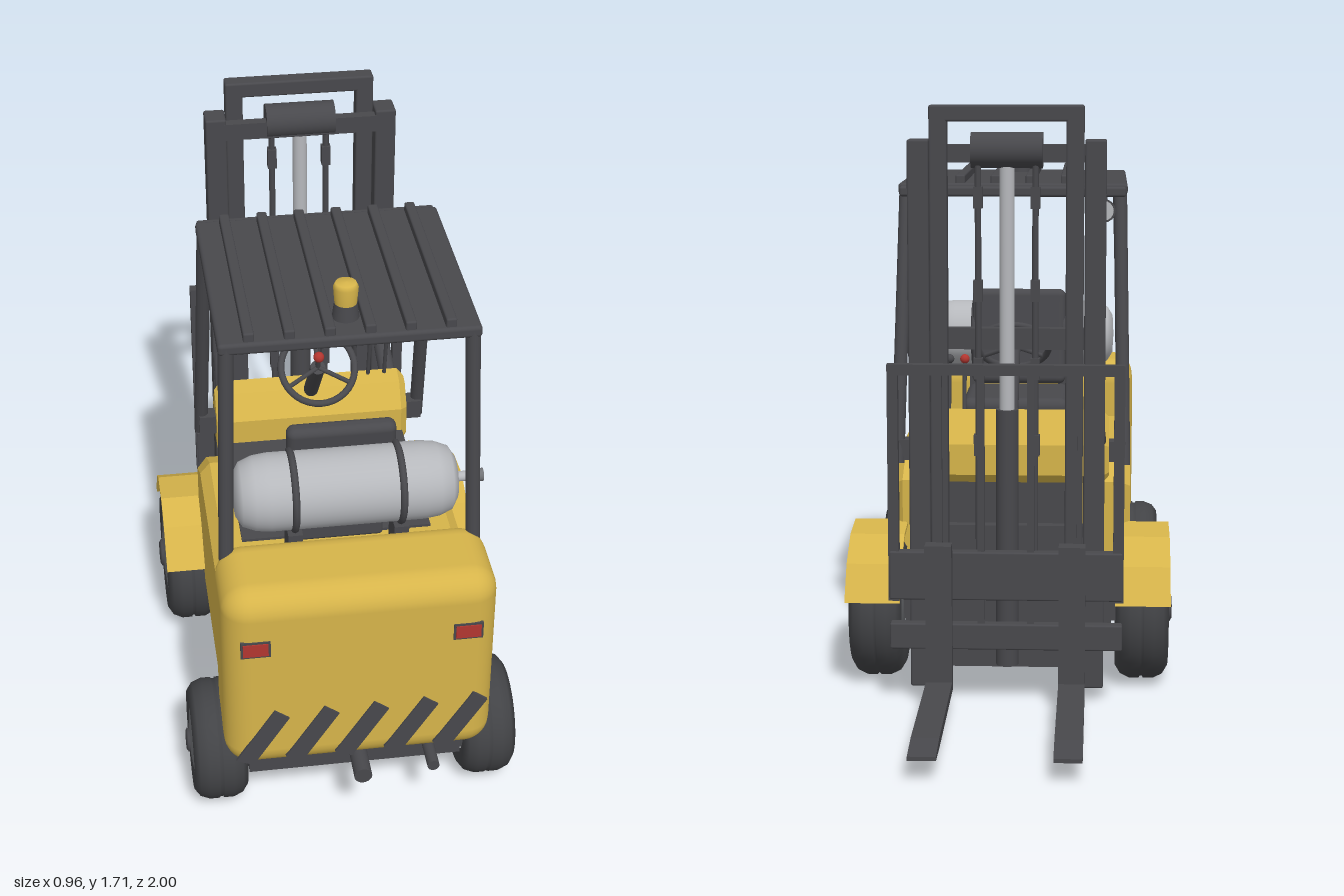
import * as THREE from 'three';
import { RoundedBoxGeometry } from 'three/addons/geometries/RoundedBoxGeometry.js';

const mat = (name, color, side = THREE.FrontSide) => {
  const m = new THREE.MeshStandardMaterial({ color, side });
  m.name = name;
  return m;
};

export function createModel() {
  const yellow = mat('yellow paint', 0xd6b44a);
  const dark = mat('dark steel', 0x48484c);
  const rubber = mat('tyre rubber', 0x424346);
  const hubGrey = mat('hub grey', 0x717377);
  const silver = mat('tank silver', 0xb6b8bc);
  const red = mat('red', 0xb23630);
  const root = new THREE.Group();
  root.name = 'forklift';
  const V = (x, y, z) => new THREE.Vector3(x, y, z);

  const add = (name, geo, m, x = 0, y = 0, z = 0) => {
    const mesh = new THREE.Mesh(geo, m);
    mesh.name = name;
    mesh.position.set(x, y, z);
    root.add(mesh);
    return mesh;
  };
  // Box given by its limits on each axis
  const box = (name, m, x0, x1, y0, y1, z0, z1, r = 0) => {
    const s = [x1 - x0, y1 - y0, z1 - z0];
    const geo = r ? new RoundedBoxGeometry(...s, 4, r) : new THREE.BoxGeometry(...s);
    return add(name, geo, m, (x0 + x1) / 2, (y0 + y1) / 2, (z0 + z1) / 2);
  };
  // Round bar between two points
  const bar = (name, m, a, b, r, r2 = r, seg = 16) => {
    const d = b.clone().sub(a);
    const mesh = add(name, new THREE.CylinderGeometry(r2, r, d.length(), seg), m);
    mesh.position.copy(a).add(b).multiplyScalar(0.5);
    mesh.quaternion.setFromUnitVectors(V(0, 1, 0), d.normalize());
    return mesh;
  };
  // Side profile of [z, y] points extruded across x, centred on x
  const sideExtrude = (name, m, pts, width, x = 0, bevel = 0) => {
    const shape = new THREE.Shape(pts.map(p => new THREE.Vector2(...p)));
    const depth = width - 2 * bevel;
    const geo = new THREE.ExtrudeGeometry(shape, {
      depth, bevelEnabled: bevel > 0, bevelSize: bevel, bevelThickness: bevel, bevelOffset: -bevel, bevelSegments: 1,
    });
    geo.translate(0, 0, -depth / 2).rotateY(-Math.PI / 2);
    return add(name, geo, m, x);
  };
  const lathe = (pts, seg = 40) => new THREE.LatheGeometry(pts.map(p => new THREE.Vector2(...p)), seg);

  // Body, counterweight and chassis
  sideExtrude('body', yellow, [[0.65, 0.23], [0.65, 0.63], [0.62, 0.66], [0.09, 0.66], [-0.045, 0.585], [-0.045, 0.23]], 0.71, 0, 0.03);
  box('counterweight', yellow, -0.37, 0.37, 0.23, 0.835, 0.67, 0.95, 0.075);
  box('chassis', dark, -0.30, 0.30, 0.14, 0.32, -0.25, 0.86);
  box('sideSill', dark, -0.33, 0.33, 0.145, 0.24, 0.0, 0.66);
  box('counterweightJoint', dark, -0.33, 0.33, 0.25, 0.62, 0.62, 0.70);
  box('floorMat', dark, -0.27, 0.27, 0.655, 0.668, 0.01, 0.48);

  // Dashboard cowl
  sideExtrude('dashboard', yellow, [[-0.17, 0.63], [-0.15, 0.605], [-0.02, 0.605], [-0.01, 0.63], [-0.01, 0.73], [-0.06, 0.80], [-0.11, 0.815], [-0.17, 0.72]], 0.58, 0, 0.02);
  box('dashSupport', dark, -0.20, 0.20, 0.32, 0.62, -0.12, -0.02);

  // Wheels, with rounded tyre, dished hub and cap
  const wheel = (name, s, cx, y, z, r, w) => {
    const g = new THREE.Group();
    g.name = name;
    const h = w / 2, i = r * 0.58;
    const parts = [
      ['tyre', rubber, [[i, -h * 0.9], [r * 0.82, -h], [r * 0.94, -h * 0.8], [r, -h * 0.45], [r, -0.006], [r * 0.975, -0.004], [r * 0.975, 0.004],
        [r, 0.006], [r, h * 0.45], [r * 0.94, h * 0.8], [r * 0.82, h], [i, h * 0.9]]],
      ['hub', hubGrey, [[0, -h * 0.8], [i, -h * 0.8], [i * 1.04, h * 0.92], [i * 0.85, h * 0.95], [r * 0.25, h * 1.02], [0, h * 1.02]]],
      ['hubCap', dark, [[r * 0.2, h * 0.9], [r * 0.2, h * 1.1], [r * 0.15, h * 1.17], [0, h * 1.17]]],
    ];
    for (const [n, m, pts] of parts) {
      const mesh = new THREE.Mesh(lathe(pts), m);
      mesh.name = n;
      g.add(mesh);
    }
    g.rotation.z = -s * Math.PI / 2;
    g.position.set(s * cx, y, z);
    root.add(g);
  };

  // Fender outline: outer curve and its inner offset
  const arch = [[0.155, 0.31], [0.07, 0.415], [-0.02, 0.46], [-0.15, 0.445], [-0.25, 0.38], [-0.315, 0.28]];
  const inner = arch.map(([z, y]) => [-0.07 + (z + 0.07) * 0.95, 0.21 + (y - 0.21) * 0.95]).reverse();

  for (const s of [1, -1]) {
    const side = s > 0 ? 'left' : 'right';
    wheel(side + 'FrontWheel', s, 0.39, 0.21, -0.07, 0.21, 0.155);
    wheel(side + 'RearWheel', s, 0.38, 0.172, 0.74, 0.17, 0.15);
    sideExtrude(side + 'Fender', yellow, [...arch, ...inner], 0.16, s * 0.39);

    // Overhead guard pillars and work lamps
    bar(side + 'RearPillar', dark, V(s * 0.337, 0.80, 0.72), V(s * 0.318, 1.45, 0.68), 0.02);
    bar(side + 'FrontPillar', dark, V(s * 0.333, 0.65, -0.105), V(s * 0.318, 1.45, 0.08), 0.02);
    bar(side + 'WorkLamp', dark, V(s * 0.27, 1.385, 0.085), V(s * 0.27, 1.385, 0.03), 0.025, 0.035);
    bar(side + 'LampLens', silver, V(s * 0.27, 1.385, 0.032), V(s * 0.27, 1.385, 0.025), 0.029);
    box(side + 'LampBracket', dark, s * 0.27 - 0.01, s * 0.27 + 0.01, 1.40, 1.45, 0.05, 0.07);
    bar(side + 'TiltCylinder', dark, V(s * 0.26, 0.69, -0.08), V(s * 0.25, 0.81, -0.28), 0.025);
    box(side + 'TiltMount', dark, s * 0.29 - 0.05, s * 0.29 + 0.05, 0.66, 0.72, -0.11, -0.06);

    // Mast rails, chains and forks
    box(side + 'OuterRail', dark, s * 0.247 - 0.03, s * 0.247 + 0.03, 0.04, 1.61, -0.335, -0.26, 0.006);
    box(side + 'InnerRail', dark, s * 0.19 - 0.025, s * 0.19 + 0.025, 0.055, 1.70, -0.345, -0.295, 0.006);
    bar(side + 'Chain', dark, V(s * 0.08, 0.40, -0.32), V(s * 0.08, 1.56, -0.32), 0.009, 0.009, 8);
    for (const y of [0.75, 0.97, 1.19, 1.45])
      box(side + 'ChainLink', dark, s * 0.08 - 0.013, s * 0.08 + 0.013, y - 0.03, y + 0.03, -0.333, -0.307);
    sideExtrude(side + 'Fork', dark, [[-0.40, 0.485], [-0.45, 0.485], [-0.45, 0.45], [-0.43, 0.45], [-0.43, 0.083], [-0.89, 0.083],
      [-1, 0.071], [-1, 0.06], [-0.9, 0.055], [-0.40, 0.055]], 0.075, s * 0.188);
    box(side + 'BackrestPost', dark, s * 0.318 - 0.015, s * 0.318 + 0.015, 0.31, 0.99, -0.39, -0.36);
    for (const x of [0.07, 0.19])
      box(side + 'BackrestBar', dark, s * x - 0.01, s * x + 0.01, 0.20, 0.98, -0.385, -0.365);
    box(side + 'CarriageArm', dark, s * 0.19 - 0.03, s * 0.19 + 0.03, 0.18, 0.44, -0.365, -0.33);
    box(side + 'TailLight', red, s * 0.285 - 0.034, s * 0.285 + 0.034, 0.65, 0.69, 0.947, 0.956);
    box(side + 'TailLightRim', dark, s * 0.285 - 0.04, s * 0.285 + 0.04, 0.644, 0.696, 0.945, 0.953);
  }

  // Overhead guard roof, slats and beacon
  box('roof', dark, -0.34, 0.34, 1.43, 1.463, 0.055, 0.70, 0.01);
  for (let i = 0; i < 6; i++) {
    const x = -0.26 + i * 0.104;
    box('roofSlat', dark, x - 0.014, x + 0.014, 1.455, 1.487, 0.065, 0.69, 0.005);
  }
  box('roofFrontBar', dark, -0.335, 0.335, 1.425, 1.455, 0.03, 0.065, 0.008);
  bar('beaconBase', dark, V(0, 1.46, 0.60), V(0, 1.505, 0.60), 0.036, 0.03, 24);
  add('beacon', lathe([[0.029, 0], [0.033, 0.05], [0.027, 0.062], [0, 0.064]], 24), yellow, 0, 1.502, 0.60);

  // Mast cross members, lift cylinder and carriage
  box('innerTopBar', dark, -0.215, 0.215, 1.66, 1.705, -0.345, -0.295, 0.006);
  box('outerTopBar', dark, -0.27, 0.27, 1.545, 1.595, -0.29, -0.26);
  bar('chainDrum', dark, V(-0.10, 1.58, -0.30), V(0.10, 1.58, -0.30), 0.05, 0.05, 28);
  for (const [y0, y1] of [[0.09, 0.17], [0.45, 0.51], [1.02, 1.08]])
    box('mastCrossBar', dark, -0.225, 0.225, y0, y1, -0.295, -0.262);
  bar('liftCylinder', dark, V(0, 0.10, -0.30), V(0, 0.85, -0.30), 0.032, 0.032, 24);
  bar('liftPiston', silver, V(0, 0.85, -0.30), V(0, 1.54, -0.30), 0.021, 0.021, 24);
  box('upperCarriagePlate', dark, -0.33, 0.33, 0.315, 0.455, -0.395, -0.358, 0.005);
  box('lowerCarriagePlate', dark, -0.33, 0.33, 0.17, 0.245, -0.395, -0.358, 0.005);
  box('backrestTop', dark, -0.333, 0.333, 0.96, 0.99, -0.39, -0.36);

  // Seat
  box('seatBase', dark, -0.13, 0.13, 0.66, 0.73, 0.265, 0.50, 0.012);
  box('seatCushion', dark, -0.165, 0.165, 0.72, 0.785, 0.225, 0.535, 0.028);
  box('seatBack', dark, -0.15, 0.15, 0.785, 1.09, 0.505, 0.557, 0.022).rotation.x = 0.11;

  // Gas tank with straps and valve
  const tank = add('gasTank', lathe([[0, -0.305], [0.06, -0.302], [0.088, -0.285], [0.102, -0.25], [0.107, -0.21],
    [0.107, 0.21], [0.102, 0.25], [0.088, 0.285], [0.06, 0.302], [0, 0.305]]), silver, 0, 0.935, 0.62);
  tank.rotation.z = -Math.PI / 2;
  bar('tankValve', silver, V(0.30, 0.935, 0.62), V(0.36, 0.935, 0.62), 0.014);
  bar('valveKnob', hubGrey, V(0.355, 0.935, 0.62), V(0.38, 0.935, 0.62), 0.018);
  for (const x of [-0.145, 0.145]) {
    add('tankStrap', new THREE.TorusGeometry(0.107, 0.01, 8, 40), dark, x, 0.935, 0.62).rotation.y = Math.PI / 2;
    box('tankCradle', dark, x - 0.02, x + 0.02, 0.64, 0.84, 0.61, 0.70);
  }

  // Steering wheel, column and control levers
  const hub = V(0, 0.972, 0.09), axis = V(0, 0.72, 0.69);
  const ring = add('steeringWheel', new THREE.TorusGeometry(0.108, 0.01, 10, 36), dark);
  ring.position.copy(hub);
  ring.quaternion.setFromUnitVectors(V(0, 0, 1), axis);
  for (let i = 0; i < 3; i++) {
    const a = i * Math.PI * 2 / 3 + Math.PI / 2;
    const tip = V(Math.cos(a) * 0.108, Math.sin(a) * 0.108, 0).applyQuaternion(ring.quaternion).add(hub);
    bar('wheelSpoke', dark, hub, tip, 0.007, 0.007, 8);
  }
  bar('steeringColumn', dark, V(0, 0.76, -0.09), hub, 0.022);
  add('steeringKnob', new THREE.SphereGeometry(0.016, 16, 12), red, 0, 1.02, 0.11);
  bar('knobStem', dark, hub, V(0, 1.015, 0.108), 0.007, 0.007, 8);
  [0.135, 0.18, 0.23].forEach((x, i) => {
    bar('controlLever', dark, V(x, 0.78, -0.105), V(x, 0.95, -0.07), 0.006, 0.006, 8);
    add('leverKnob', new THREE.SphereGeometry(0.014, 16, 12), i ? dark : red, x, 0.957, -0.07);
  });

  // Hazard stripes, tow hitch and exhaust at the rear
  for (let i = -2; i <= 2; i++) {
    const w = 0.025, stripe = new THREE.Shape();
    [[-0.072, -0.075], [-0.025, -0.095], [0.075, 0.065], [0.035, 0.095]].forEach(([x, y], k) => k ? stripe.lineTo(x, y) : stripe.moveTo(x, y));
    const geo = new THREE.ExtrudeGeometry(stripe, { depth: 0.008, bevelEnabled: false });
    add('hazardStripe', geo, dark, i * 0.136, 0.355, 0.947);
  }
  bar('towHitch', dark, V(0, 0.225, 0.84), V(0, 0.222, 1.0), 0.025, 0.025, 20);
  bar('exhaustPipe', dark, V(0.20, 0.215, 0.80), V(0.20, 0.215, 0.98), 0.017);
  return root;
}
